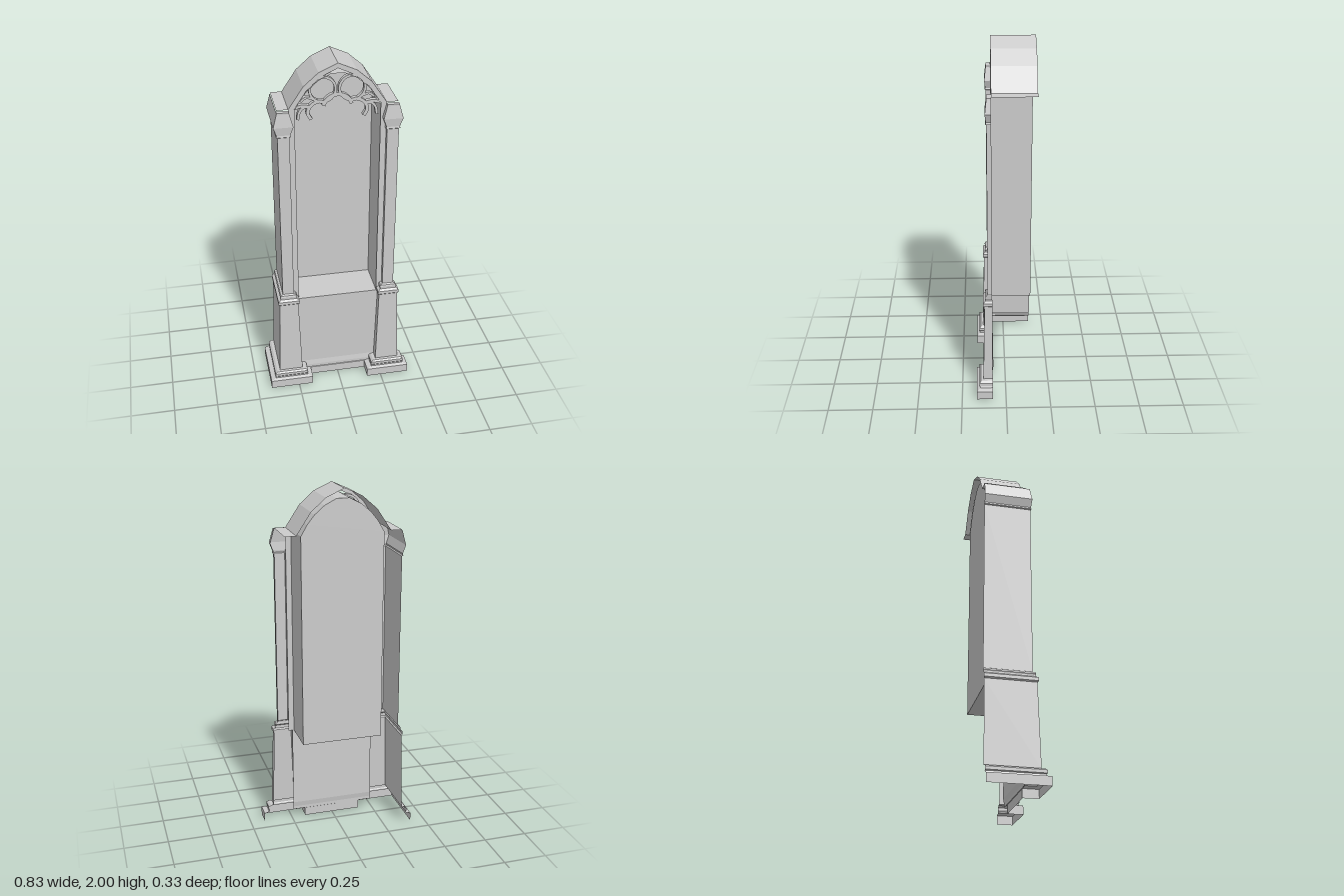
import * as THREE from 'three';

const material = new THREE.MeshStandardMaterial({
  color: 0xcccccc, flatShading: true, side: THREE.DoubleSide,
});
const FRONT = 0.075, BACK = -0.165, NICHE_BACK = -0.14, SEAT = 0.57;

function mesh(name, geometry) {
  const m = new THREE.Mesh(geometry, material);
  m.name = name;
  return m;
}

// Joins equal-length rows of [x, y, z] points with flat quads.
function loft(rows) {
  const pos = [];
  for (let i = 0; i < rows.length - 1; i++) {
    for (let j = 0; j < rows[i].length - 1; j++) {
      const a = rows[i][j], b = rows[i][j + 1], c = rows[i + 1][j + 1], d = rows[i + 1][j];
      pos.push(...a, ...b, ...c, ...a, ...c, ...d);
    }
  }
  const g = new THREE.BufferGeometry();
  g.setAttribute('position', new THREE.Float32BufferAttribute(pos, 3));
  g.computeVertexNormals();
  return g;
}

// Carries an outline of [x, y] points straight back along z.
const sheet = (pts, z0, z1) => loft([z0, z1].map(z => pts.map(([x, y]) => [x, y, z])));

// Completes a half outline (running from the outside to the centre) on the other side.
const mirror = half => [
  ...half,
  ...half.filter(p => p[0] !== 0).reverse().map(([x, y]) => [-x, y]),
];

const shapeOf = pts => new THREE.Shape(pts.map(([x, y]) => new THREE.Vector2(x, y)));

// Moulded pier: [height, half width, front z] from plinth to capital.
const pierProfile = [
  [0, 0.125, 0.165], [0.05, 0.125, 0.165], [0.058, 0.097, 0.147],
  [0.067, 0.093, 0.147], [0.072, 0.098, 0.15], [0.088, 0.098, 0.15],
  [0.098, 0.085, 0.142], [0.1, 0.068, 0.128], [0.565, 0.054, 0.118],
  [0.572, 0.061, 0.125], [0.59, 0.061, 0.125], [0.6, 0.046, 0.112],
  [0.608, 0.046, 0.112], [0.614, 0.049, 0.113], [0.624, 0.044, 0.11],
  [0.63, 0.032, 0.1], [1.62, 0.032, 0.1], [1.624, 0.039, 0.105],
  [1.634, 0.036, 0.103], [1.68, 0.053, 0.108], [1.75, 0.034, 0.1],
  [1.76, 0.032, 0.1], [1.76, 0.032, FRONT],
];

// The outer face of a pier may run further back than its inner one.
function pier(name, side, outerBack) {
  const cx = 0.292;
  return mesh(name, loft(pierProfile.map(([y, w, z]) => [
    [side * (cx - w), y, FRONT], [side * (cx - w), y, z],
    [side * (cx + w), y, z], [side * (cx + w), y, outerBack],
  ])));
}

// Flat stone rib of constant width following a smooth curve.
function rib(points, width, closed = false) {
  const curve = new THREE.CatmullRomCurve3(
    points.map(([x, y]) => new THREE.Vector3(x, y, 0)), closed);
  const rows = [], n = closed ? 28 : 16, z0 = 0.045, z1 = 0.07;
  for (let i = 0; i <= n; i++) {
    const p = curve.getPointAt(i / n), t = curve.getTangentAt(i / n);
    const nx = -t.y * width / 2, ny = t.x * width / 2;
    const corner = (s, z) => [p.x + s * nx, p.y + s * ny, z];
    rows.push([corner(1, z0), corner(1, z1), corner(-1, z1), corner(-1, z0), corner(1, z0)]);
  }
  return mesh('traceryRib', loft(rows));
}

function arcPoints(cx, cy, r, from, to, n = 8) {
  return Array.from({ length: n + 1 }, (_, i) => {
    const a = THREE.MathUtils.degToRad(from + (to - from) * i / n);
    return [cx + r * Math.cos(a), cy + r * Math.sin(a)];
  });
}

export function createModel() {
  const group = new THREE.Group();

  // Side piers; the right one returns along the whole side
  group.add(pier('leftPier', 1, FRONT), pier('rightPier', -1, BACK));

  // Faceted pointed roof with flat eaves
  const outerArch = [[0.26, 1.765], [0.18, 1.885], [0.1, 1.955], [0, 2]];
  group.add(mesh('roof', sheet(mirror([[0.322, 1.765], ...outerArch]), BACK, FRONT)));

  // Front arch and jambs
  const innerArch = [[0.228, 1.765], [0.165, 1.86], [0.09, 1.93], [0, 1.972]];
  const outer = mirror([[0.262, SEAT], ...outerArch]);
  const inner = mirror([[0.228, SEAT], ...innerArch]);
  group.add(mesh('archFace',
    new THREE.ShapeGeometry(shapeOf([...outer, ...inner.slice().reverse()])).translate(0, 0, FRONT)));

  // Niche: side walls with vault, back panel and seat
  const niche = mirror([
    [0.23, SEAT], [0.23, 1.755], [0.195, 1.815], [0.155, 1.865],
    [0.1, 1.912], [0.035, 1.945],
  ]);
  group.add(mesh('nicheWalls', sheet(niche, NICHE_BACK, FRONT)));
  group.add(mesh('nicheBack',
    new THREE.ShapeGeometry(shapeOf(niche)).translate(0, 0, NICHE_BACK)));
  group.add(mesh('seat', sheet([[-0.23, SEAT], [0.23, SEAT]], NICHE_BACK, FRONT)));

  // Panel below the seat, with a shallow plinth
  const panelProfile = [
    [0, 0.078, 0.168], [0.05, 0.078, 0.168], [0.052, 0.075, 0.24],
    [0.07, 0.075, 0.24], [0.1, 0.07, 0.24], [SEAT, FRONT, 0.24],
  ];
  group.add(mesh('lowerPanel', loft(panelProfile.map(([y, z, w]) => [[-w, y, z], [w, y, z]]))));

  // Tracery: cusped arch below a pair of round lights
  const tracery = new THREE.Group();
  tracery.name = 'tracery';
  tracery.add(rib(arcPoints(0, 1.75, 0.077, 15, 165), 0.02));
  for (const s of [1, -1]) {
    const flip = pts => pts.map(([x, y]) => [s * x, y]);
    tracery.add(
      rib(flip([[0.065, 1.785], [0.1, 1.795], [0.14, 1.775], [0.158, 1.735], [0.14, 1.697]]), 0.018),
      rib(flip([[0.145, 1.765], [0.175, 1.768], [0.2, 1.745], [0.21, 1.7]]), 0.014),
      rib(flip([[0.15, 1.77], [0.19, 1.775], [0.228, 1.765]]), 0.016),
      rib(flip(arcPoints(0.078, 1.858, 0.068, 0, 337.5, 15)), 0.014, true),
      rib(flip([[0.13, 1.81], [0.165, 1.82], [0.195, 1.8]]), 0.012),
    );
  }
  group.add(tracery);

  return group;
}
